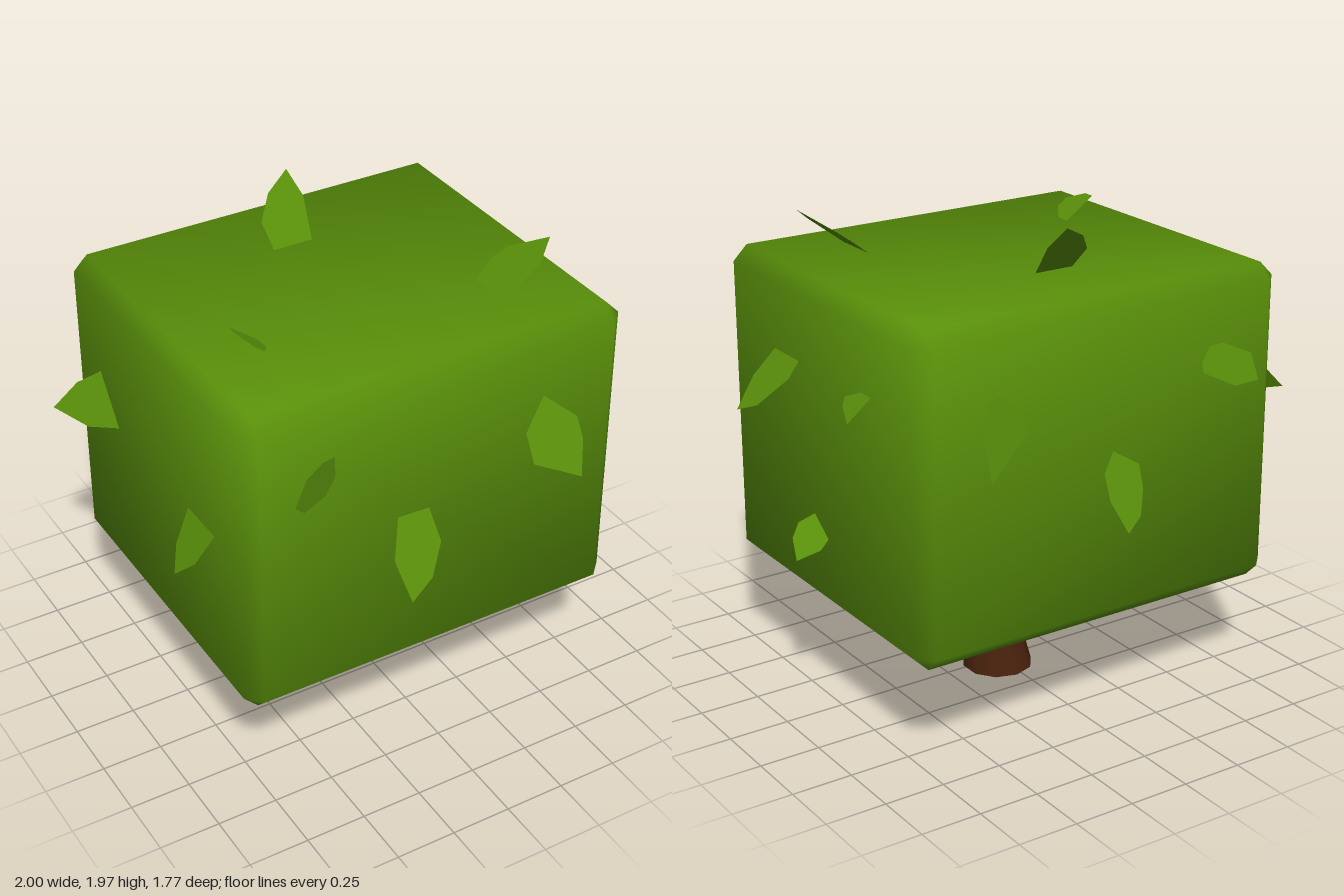
import * as THREE from 'three';
import { ConvexGeometry } from 'three/addons/geometries/ConvexGeometry.js';

const foliage = new THREE.MeshStandardMaterial({ color: 0x598f0a, side: THREE.DoubleSide });
foliage.name = 'leaf green';
const bark = new THREE.MeshStandardMaterial({ color: 0x4d240e });
bark.name = 'bark brown';

const HALF = [0.82, 0.6575, 0.72];
const CENTRE = new THREE.Vector3(-0.01, 1.0925, 0.005);
const BEVEL = 0.06;

// Chamfered block whose corner normals lean outwards for soft shading
function crownGeometry() {
  const points = [];
  for (const sx of [-1, 1]) for (const sy of [-1, 1]) for (const sz of [-1, 1])
    for (let axis = 0; axis < 3; axis++) {
      const p = [sx, sy, sz].map((s, i) => s * (HALF[i] - (i === axis ? 0 : BEVEL)));
      points.push(new THREE.Vector3(...p));
    }
  const geometry = new ConvexGeometry(points);
  const pos = geometry.attributes.position;
  const n = new THREE.Vector3();
  for (let i = 0; i < pos.count; i++) {
    const p = [pos.getX(i), pos.getY(i), pos.getZ(i)];
    n.set(...p.map((c, k) => Math.sign(c) * (Math.abs(c) > HALF[k] - 0.01 ? 1 : 0.43))).normalize();
    geometry.attributes.normal.setXYZ(i, n.x, n.y, n.z);
  }
  return geometry;
}

// Tapering limb: stations are [x, y, z, radius]; level keeps the rings horizontal
function limb(name, stations, sides, level) {
  const pts = stations.map((s) => new THREE.Vector3(s[0], s[1], s[2]));
  const verts = [], index = [];
  stations.forEach((s, i) => {
    const dir = pts[Math.min(i + 1, pts.length - 1)].clone().sub(pts[Math.max(i - 1, 0)]).normalize();
    if (level) dir.set(0, 1, 0);
    const b = new THREE.Vector3(0, 0, 1);
    const a = new THREE.Vector3().crossVectors(dir, b).normalize();
    b.crossVectors(a, dir);
    for (let k = 0; k < sides; k++) {
      const t = ((k + 0.5) / sides) * Math.PI * 2;
      const v = pts[i].clone().addScaledVector(a, Math.cos(t) * s[3]).addScaledVector(b, Math.sin(t) * s[3]);
      verts.push(v.x, v.y, v.z);
      if (i > 0) {
        const p = (i - 1) * sides + k, q = (i - 1) * sides + ((k + 1) % sides);
        index.push(p, p + sides, q, q, p + sides, q + sides);
      }
    }
  });
  const geometry = new THREE.BufferGeometry();
  geometry.setAttribute('position', new THREE.Float32BufferAttribute(verts, 3));
  geometry.setIndex(index);
  geometry.computeVertexNormals();
  const mesh = new THREE.Mesh(geometry, bark);
  mesh.name = name;
  return mesh;
}

// Map (across, along, outward) to a point on each crown side
const SIDES = {
  front: (u, v, w) => [u, v, 0.725 + w],
  back: (u, v, w) => [u, v, -0.715 - w],
  left: (u, v, w) => [0.81 + w, v, u],
  right: (u, v, w) => [-0.83 - w, v, u],
  top: (u, v, w) => [u, 1.75 + w, v],
};

// Flat leaf: outline on a side, lifted from a hinge point by a slope
function leaf(side, hinge, slope, outline) {
  const pts = outline.map(([u, v]) =>
    SIDES[side](u, v, (u - hinge[0]) * slope[0] + (v - hinge[1]) * slope[1] + 0.002));
  const verts = [];
  for (let i = 1; i < pts.length - 1; i++) verts.push(...pts[0], ...pts[i], ...pts[i + 1]);
  const geometry = new THREE.BufferGeometry();
  geometry.setAttribute('position', new THREE.Float32BufferAttribute(verts, 3));
  geometry.computeVertexNormals();
  const mesh = new THREE.Mesh(geometry, foliage);
  mesh.name = side + 'Leaf';
  return mesh;
}

export function createModel() {
  const tree = new THREE.Group();
  tree.name = 'blockTree';

  const crown = new THREE.Mesh(crownGeometry(), foliage);
  crown.name = 'crown';
  crown.position.copy(CENTRE);
  tree.add(crown);

  // Trunk with its closed foot, and two bent branches
  tree.add(limb('trunk', [
    [0.025, 0, -0.03, 0.145], [0.058, 0.2, -0.03, 0.12], [0.062, 0.38, -0.03, 0.112], [0.05, 0.5, -0.03, 0.095],
  ], 10, true));
  const foot = new THREE.Mesh(new THREE.CircleGeometry(0.145, 10, Math.PI / 10), bark);
  foot.name = 'trunkFoot';
  foot.rotation.x = Math.PI / 2;
  foot.position.set(0.025, 0, -0.03);
  tree.add(foot);
  tree.add(limb('rightBranch', [
    [0.03, 0.31, -0.03, 0.036], [-0.14, 0.325, -0.03, 0.036], [-0.29, 0.405, -0.02, 0.034], [-0.37, 0.48, -0.01, 0.03],
  ], 8));
  tree.add(limb('leftBranch', [
    [0.08, 0.2, -0.03, 0.036], [0.2, 0.245, -0.03, 0.036], [0.32, 0.33, -0.025, 0.035], [0.4, 0.47, -0.015, 0.03],
  ], 8));

  // Loose leaves sticking out of the crown
  const leaves = new THREE.Group();
  leaves.name = 'leaves';
  leaves.add(
    leaf('front', [-0.46, 1.45], [-0.48, 0.04],
      [[-0.69, 1.44], [-0.64, 1.385], [-0.52, 1.38], [-0.465, 1.43], [-0.47, 1.52], [-0.54, 1.54], [-0.63, 1.525]]),
    leaf('front', [-0.13, 1.15], [-0.08, -0.56],
      [[-0.23, 0.87], [-0.12, 0.92], [-0.045, 1.02], [-0.06, 1.14], [-0.2, 1.15], [-0.26, 1.02]]),
    leaf('front', [0.45, 1.47], [0.25, -0.48],
      [[0.52, 1.17], [0.555, 1.3], [0.55, 1.38], [0.44, 1.47], [0.345, 1.35], [0.35, 1.24]]),
    leaf('left', [0, 1.42], [0, -0.88],
      [[0.32, 1.21], [0.36, 1.32], [0.34, 1.42], [0.15, 1.42], [0.14, 1.36], [0.22, 1.25]]),
    leaf('left', [-0.44, 1.48], [-0.16, -1.25],
      [[-0.29, 1.42], [-0.36, 1.45], [-0.44, 1.455], [-0.44, 1.375], [-0.32, 1.4]]),
    leaf('left', [-0.04, 0.75], [1.2, -1.27],
      [[0.07, 0.8], [0.05, 0.83], [-0.04, 0.75], [-0.045, 0.715], [-0.01, 0.68], [0.05, 0.75]]),
    leaf('right', [-0.46, 1.34], [-0.755, -0.556],
      [[-0.56, 1.17], [-0.52, 1.28], [-0.46, 1.34], [-0.32, 1.15], [-0.42, 1.13]]),
    leaf('right', [0, 1.14], [0, -0.59],
      [[0.27, 1.14], [0.3, 1.02], [0.37, 0.94], [0.45, 1.02], [0.48, 1.14]]),
    leaf('back', [0.42, 1.46], [0.25, -0.25],
      [[0.58, 1.19], [0.59, 1.36], [0.54, 1.47], [0.47, 1.47], [0.38, 1.36], [0.38, 1.31]]),
    leaf('back', [-0.035, 1.15], [0.2, -0.56],
      [[0.005, 0.88], [0.05, 1], [0.04, 1.09], [-0.035, 1.15], [-0.145, 1.08], [-0.13, 1], [-0.08, 0.92]]),
    leaf('back', [-0.45, 1.41], [-0.55, -0.3],
      [[-0.45, 1.47], [-0.45, 1.38], [-0.55, 1.33], [-0.63, 1.35], [-0.62, 1.45], [-0.53, 1.49]]),
    leaf('top', [0, -0.31], [0, -1.1],
      [[-0.14, -0.39], [-0.07, -0.46], [0.04, -0.51], [0.07, -0.43], [0.04, -0.31], [-0.13, -0.31]]),
    leaf('top', [-0.5, 0], [-0.75, 0],
      [[-0.62, 0.23], [-0.5, 0.24], [-0.5, 0.3], [-0.54, 0.36], [-0.58, 0.36], [-0.62, 0.28]]),
    leaf('top', [0.42, 0], [0.75, 0],
      [[0.42, 0.28], [0.42, 0.47], [0.58, 0.47], [0.66, 0.41], [0.56, 0.28], [0.5, 0.26]]),
  );
  tree.add(leaves);
  return tree;
}
